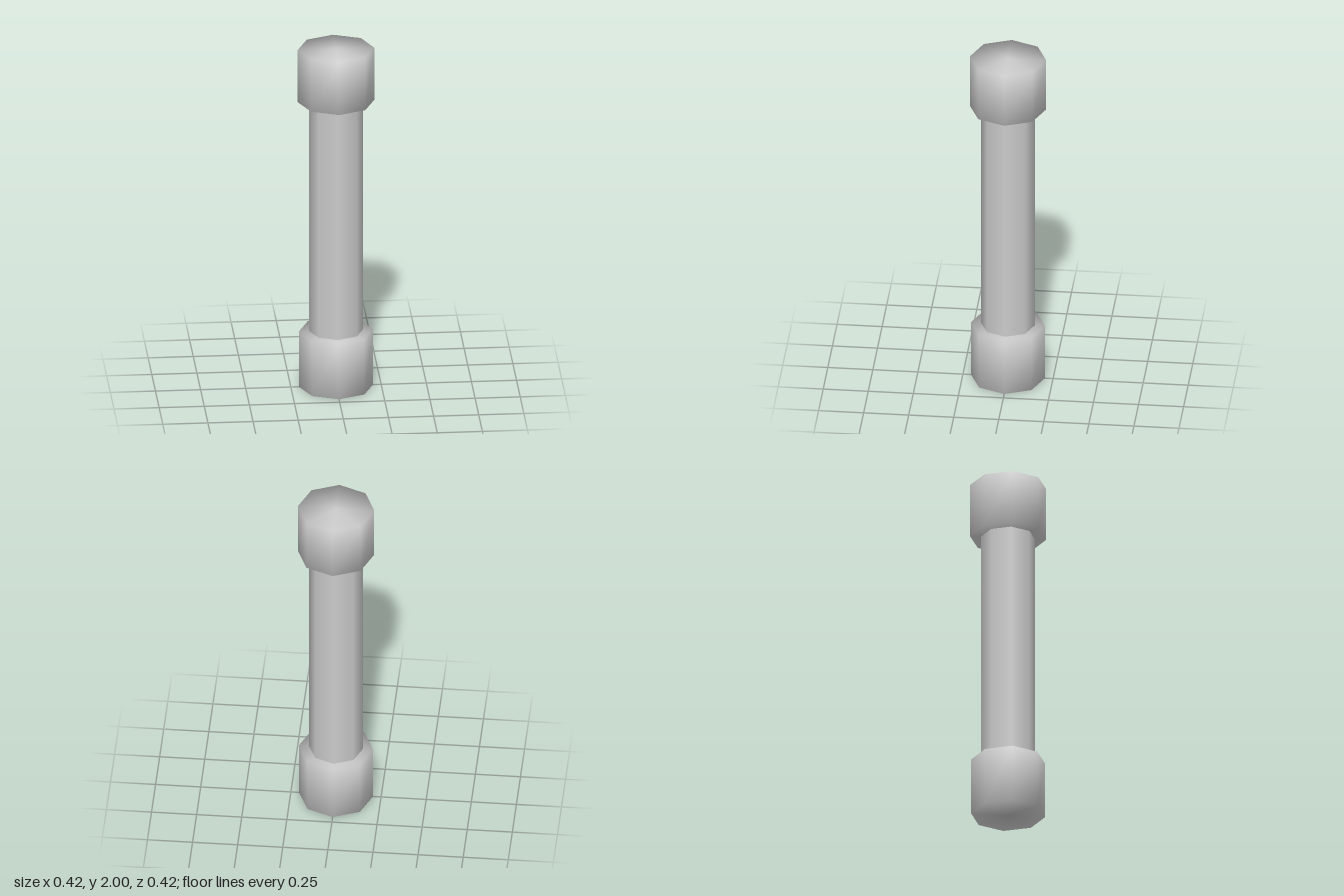
import * as THREE from 'three';
import { mergeVertices } from 'three/addons/utils/BufferGeometryUtils.js';

const material = new THREE.MeshStandardMaterial({ color: 0xcccccc });
const SIDES = 8;

// Closed eight-sided cap whose normals blend over the rims
function makeCap(name, radius, bottom, top) {
  const raw = new THREE.CylinderGeometry(radius, radius, top - bottom, SIDES);
  raw.deleteAttribute('normal');
  raw.deleteAttribute('uv');
  const geometry = mergeVertices(raw, 1e-4);
  geometry.computeVertexNormals();
  const mesh = new THREE.Mesh(geometry, material);
  mesh.name = name;
  mesh.position.y = (bottom + top) / 2;
  return mesh;
}

export function createModel() {
  const group = new THREE.Group();
  group.name = 'post';

  // Slim shaft, with its ends hidden inside the caps
  const shaft = new THREE.Mesh(
    new THREE.CylinderGeometry(0.15, 0.15, 1.38, SIDES, 1, true), material);
  shaft.name = 'shaft';
  shaft.position.y = 1.01;

  group.add(
    shaft,
    makeCap('topCap', 0.212, 1.69, 2),
    makeCap('bottomCap', 0.205, 0, 0.33)
  );
  return group;
}
